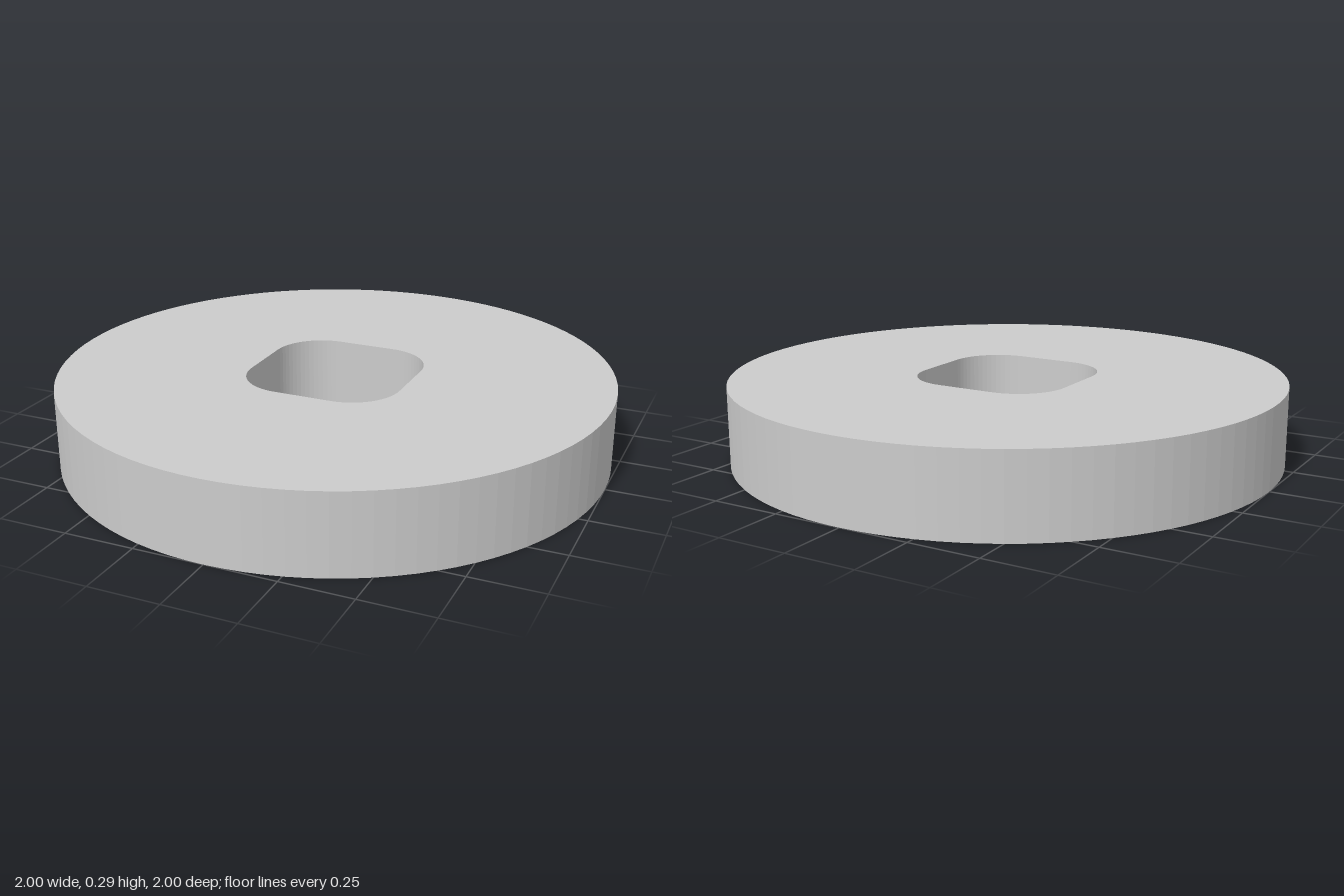
import * as THREE from 'three';

const RADIUS = 1, HEIGHT = 0.287, HOLE_HALF = 0.287, CORNER = 0.18;

// Points along an arc, both ends included
function arcPoints(cx, cy, r, start, sweep, segments) {
  return Array.from({ length: segments + 1 }, (_, i) => {
    const a = start + (sweep * i) / segments;
    return new THREE.Vector2(cx + r * Math.cos(a), cy + r * Math.sin(a));
  });
}

export function createModel() {
  const group = new THREE.Group();
  group.name = 'washer';

  // Round outline
  const outline = new THREE.Shape(arcPoints(0, 0, RADIUS, 0, Math.PI * 2, 96).slice(0, -1));

  // Square hole with rounded corners
  const c = HOLE_HALF - CORNER;
  const corners = [[c, c], [-c, c], [-c, -c], [c, -c]];
  const holePoints = corners.flatMap(([x, y], i) =>
    arcPoints(x, y, CORNER, (i * Math.PI) / 2, Math.PI / 2, 16));
  outline.holes.push(new THREE.Path(holePoints.reverse()));

  // Thick disc, laid flat on the ground
  const geometry = new THREE.ExtrudeGeometry(outline, { depth: HEIGHT, bevelEnabled: false });
  geometry.rotateX(-Math.PI / 2);

  const disc = new THREE.Mesh(geometry, new THREE.MeshStandardMaterial({ color: 0xcccccc, flatShading: true }));
  disc.name = 'discWithSquareHole';
  group.add(disc);
  return group;
}
